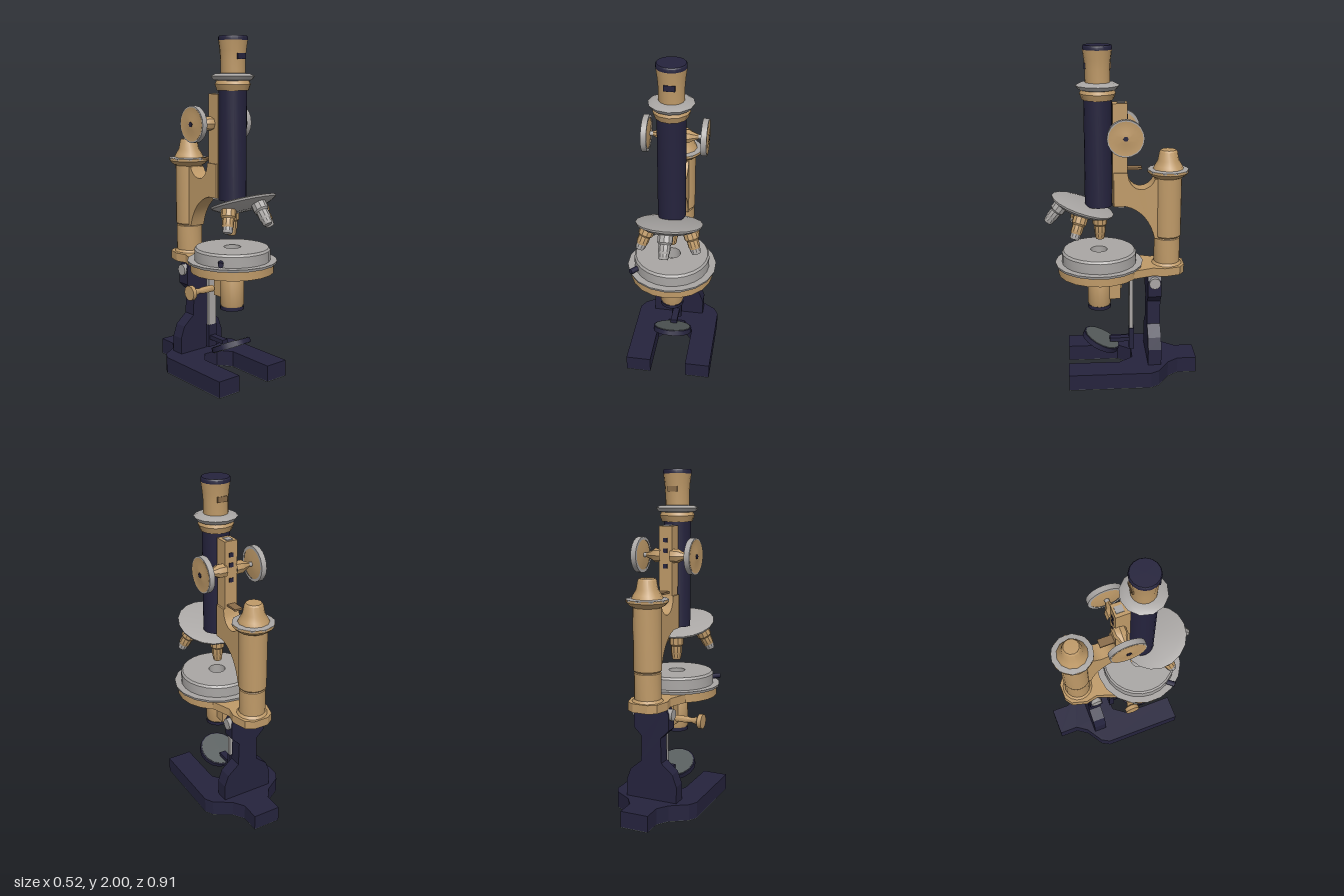
import * as THREE from 'three';
import { toCreasedNormals } from 'three/addons/utils/BufferGeometryUtils.js';

const mat = (name, color, side = THREE.FrontSide) => {
  const m = new THREE.MeshStandardMaterial({ color, side });
  m.name = name;
  return m;
};

export function createModel() {
  const navy = mat('navy enamel', 0x25233d);
  const brass = mat('brass', 0xbf9a68);
  const darkBrass = mat('dark brass', 0x8a6c49);
  const silver = mat('silver', 0xa9a6a4, THREE.DoubleSide);
  const slate = mat('slate', 0x565c5c);

  const model = new THREE.Group();
  model.name = 'microscope';
  const body = new THREE.Group();
  body.name = 'body';
  body.position.x = -0.004;
  model.add(body);

  const add = (name, geo, material, x = 0, y = 0, z = 0, parent = body) => {
    const m = new THREE.Mesh(geo, material);
    m.name = name;
    m.position.set(x, y, z);
    parent.add(m);
    return m;
  };
  const box = (name, material, w, h, d, x, y, z, parent) =>
    add(name, new THREE.BoxGeometry(w, h, d), material, x, y, z, parent);
  // Turned part: profile of [radius, height], listed bottom to top
  const lathe = (name, material, pts, sides, x = 0, y = 0, z = 0, parent = body) => {
    const g = new THREE.LatheGeometry(pts.map(p => new THREE.Vector2(...p)), sides);
    return add(name, toCreasedNormals(g, 0.62), material, x, y, z, parent);
  };
  const extrude = (shape, depth) =>
    new THREE.ExtrudeGeometry(shape, { depth, bevelEnabled: false, curveSegments: 8 });
  const polygon = pts => new THREE.Shape(pts.map(p => new THREE.Vector2(...p)));
  const mirrored = half => [...half, ...half.map(([x, y]) => [-x, y]).reverse()];

  // Horseshoe foot, outline in (x, -z)
  const footShape = polygon(mirrored([
    [0.05, 0.06], [0.11, -0.02], [0.11, -0.33], [0.26, -0.33], [0.26, 0.16],
    [0.232, 0.21], [0.13, 0.275], [0.085, 0.34], [0.085, 0.455]]));
  add('foot', extrude(footShape, 0.095).rotateX(-Math.PI / 2), navy, 0, 0.005, 0);
  add('footUnderside', extrude(footShape, 0.005).rotateX(-Math.PI / 2), slate);

  // Upright with wide shoulders and a flared head
  const upright = polygon(mirrored([
    [0.16, 0.1], [0.16, 0.2], [0.135, 0.27], [0.065, 0.33], [0.06, 0.48],
    [0.11, 0.53], [0.11, 0.63], [0.085, 0.66]]));
  add('upright', extrude(upright, 0.08), navy, 0, 0, -0.23);
  const axle = add('hingeAxle', new THREE.CylinderGeometry(0.034, 0.034, 0.25, 12), silver, 0, 0.618, -0.19);
  axle.rotation.z = Math.PI / 2;

  // Mirror on its hanging bar
  box('mirrorBar', silver, 0.055, 0.42, 0.022, 0, 0.45, -0.055);
  box('mirrorBarEnd', navy, 0.06, 0.14, 0.03, 0, 0.215, -0.058);
  box('mirrorBracket', navy, 0.04, 0.025, 0.13, 0, 0.205, 0.01);
  const mirror = new THREE.Group();
  mirror.name = 'mirror';
  mirror.position.set(0, 0.2, 0.13);
  mirror.rotation.x = -0.46;
  body.add(mirror);
  add('mirrorFrame', new THREE.CylinderGeometry(0.12, 0.12, 0.03, 16), navy, 0, 0, 0, mirror);
  add('mirrorGlass', new THREE.CylinderGeometry(0.112, 0.112, 0.036, 16), slate, 0, 0, 0, mirror);

  // Stage
  const tubeZ = 0.137, columnZ = -0.27;
  lathe('stagePlate', brass, [[0.05, 0.66], [0.245, 0.66], [0.245, 0.712], [0.05, 0.712]], 20, 0, 0, tubeZ);
  lathe('stageRim', silver, [[0.05, 0.712], [0.258, 0.712], [0.263, 0.728], [0.05, 0.728]], 18, 0, 0, tubeZ);
  lathe('stageDisc', silver, [[0.222, 0.728], [0.222, 0.79], [0.212, 0.803], [0.05, 0.803], [0.05, 0.72]], 24, 0, 0, tubeZ);
  add('stageArm', extrude(polygon(mirrored([
    [0.15, 0.04], [0.1, 0.18], [0.115, 0.25], [0.09, 0.34], [0.045, 0.37]])), 0.05).rotateX(-Math.PI / 2),
    brass, 0, 0.661, 0);
  const stageScrew = add('stageScrew', new THREE.CylinderGeometry(0.016, 0.016, 0.06, 8), navy, -0.2, 0.755, 0.27);
  stageScrew.rotation.set(Math.PI / 2, 0, 0.7);

  // Condenser below the stage
  lathe('condenser', brass, [[0.066, 0.45], [0.07, 0.46], [0.07, 0.64], [0.06, 0.66], [0.06, 0.7], [0, 0.7]], 16, 0, 0, tubeZ);
  lathe('condenserRing', navy, [[0.05, 0.44], [0.05, 0.43], [0.071, 0.43], [0.071, 0.452]], 16, 0, 0, tubeZ);
  lathe('condenserLens', slate, [[0, 0.437], [0.055, 0.437]], 16, 0, 0, tubeZ);
  lathe('stageLens', silver, [[0.045, 0.705], [0.02, 0.72], [0, 0.722]], 12, 0, 0, tubeZ);
  box('condenserSlide', brass, 0.07, 0.17, 0.07, 0, 0.575, 0.045);
  box('condenserRail', silver, 0.13, 0.03, 0.04, 0.03, 0.64, 0.02);
  const condenserKnob = lathe('condenserKnob', brass,
    [[0, 0], [0.02, 0], [0.02, 0.07], [0.014, 0.1], [0.025, 0.14], [0.044, 0.15], [0.044, 0.175], [0, 0.175]],
    12, -0.05, 0.535, 0.015);
  condenserKnob.rotation.z = Math.PI / 2;

  // Column with flange and flared cap
  lathe('columnBase', brass, [[0.1, 0.7], [0.078, 0.725], [0.078, 0.875], [0.072, 0.882]], 16, 0, 0, columnZ);
  lathe('column', brass, [[0.072, 0.878], [0.082, 0.89], [0.082, 1.245], [0.1, 1.255], [0.12, 1.275], [0.12, 1.29], [0, 1.29]], 16, 0, 0, columnZ);
  lathe('columnFlange', silver, [[0.122, 1.283], [0.122, 1.291], [0.08, 1.296]], 10, 0, 0, columnZ);
  lathe('columnCap', brass, [[0.092, 1.29], [0.08, 1.315], [0.062, 1.345], [0.053, 1.395], [0.045, 1.405], [0, 1.407]], 12, 0, 0, columnZ);

  // Curved limb, drawn in (z, y)
  const limb = new THREE.Shape();
  limb.moveTo(0.05, 1.08);
  limb.lineTo(-0.02, 1.08);
  limb.bezierCurveTo(-0.11, 1.06, -0.17, 0.98, -0.19, 0.88);
  limb.lineTo(-0.26, 0.88);
  limb.lineTo(-0.26, 1.24);
  limb.lineTo(-0.19, 1.24);
  limb.bezierCurveTo(-0.16, 1.16, -0.04, 1.15, -0.03, 1.28);
  limb.lineTo(0.05, 1.28);
  add('limb', toCreasedNormals(extrude(limb, 0.1).rotateY(-Math.PI / 2), 0.5), brass, 0.05, 0, 0);

  // Focusing slide
  box('focusSlide', brass, 0.08, 0.6, 0.085, 0, 1.38, 0.013);
  box('focusRack', silver, 0.04, 0.08, 0.045, 0, 1.645, 0.005);
  box('slideFoot', silver, 0.045, 0.04, 0.04, 0, 1.085, 0.005);
  box('limbStop', darkBrass, 0.05, 0.012, 0.09, 0, 1.3, -0.07);
  for (const y of [1.6, 1.54, 1.45]) box('slideScrew', navy, 0.025, 0.025, 0.006, 0, y, -0.031);

  // Focusing wheels on a shared shaft
  const shaft = add('focusShaft', new THREE.CylinderGeometry(0.014, 0.014, 0.32, 8), silver, 0, 1.51, -0.01);
  shaft.rotation.z = Math.PI / 2;
  for (const side of [1, -1]) {
    const wheel = new THREE.Group();
    wheel.name = side > 0 ? 'leftFocusWheel' : 'rightFocusWheel';
    wheel.position.set(0, 1.51, -0.01);
    wheel.rotation.z = -side * Math.PI / 2;
    body.add(wheel);
    lathe('wheelHub', brass, [[0.04, 0.03], [0.04, 0.075], [0.03, 0.09], [0.013, 0.13]], 8, 0, 0, 0, wheel);
    lathe('wheelRim', silver, [[0.088, 0.15], [0.105, 0.15], [0.105, 0.182], [0.088, 0.182]], 20, 0, 0, 0, wheel);
    lathe('wheelDisc', brass, [[0, 0.145], [0.03, 0.145], [0.09, 0.153], [0.097, 0.183], [0.06, 0.18], [0.03, 0.186], [0, 0.186]], 20, 0, 0, 0, wheel);
    lathe('wheelPin', navy, [[0.015, 0.18], [0.015, 0.19], [0, 0.19]], 6, 0, 0, 0, wheel);
  }

  // Main tube, collar and eyepiece
  lathe('mainTube', navy, [[0, 1.08], [0.08, 1.08], [0.08, 1.7]], 20, 0, 0, tubeZ);
  lathe('tubeCollar', brass, [[0.075, 1.7], [0.09, 1.7], [0.103, 1.735], [0.092, 1.76]], 12, 0, 0, tubeZ);
  lathe('tubeFlange', silver, [[0.085, 1.752], [0.11, 1.758], [0.126, 1.78], [0.1, 1.793], [0.06, 1.797]], 12, 0, 0, tubeZ);
  lathe('eyepiece', brass, [[0.07, 1.79], [0.071, 1.87], [0.075, 1.92], [0.083, 1.978]], 16, 0, 0, tubeZ);
  lathe('eyepieceCap', navy, [[0.07, 1.975], [0.083, 1.975], [0.083, 1.993], [0.078, 2], [0, 2]], 16, 0, 0, tubeZ);
  box('frontLabel', navy, 0.06, 0.032, 0.009, 0, 1.888, tubeZ + 0.071);
  box('backLabel', darkBrass, 0.06, 0.032, 0.009, 0, 1.888, tubeZ - 0.071);

  // Tilted revolving nosepiece with four objectives
  const nosepiece = new THREE.Group();
  nosepiece.name = 'nosepiece';
  nosepiece.position.set(0, 1.075, 0.232);
  nosepiece.rotation.x = -0.335;
  body.add(nosepiece);
  lathe('nosepieceDisc', silver,
    [[0, -0.05], [0.08, -0.048], [0.15, -0.025], [0.187, -0.004], [0.191, 0.008], [0.15, 0.016], [0, 0.022]],
    18, 0, 0, 0, nosepiece);
  for (let i = 0; i < 4; i++) {
    const turn = new THREE.Group();
    turn.name = 'objective';
    turn.rotation.y = i * Math.PI / 2;
    nosepiece.add(turn);
    const lens = new THREE.Group();
    lens.name = 'objectiveBarrel';
    lens.position.set(0, 0, 0.108);
    lens.rotation.x = -0.335;
    turn.add(lens);
    const isFront = i === 0;
    lathe('barrel', isFront ? silver : brass,
      [[0.028, -0.14], [0.034, -0.125], [0.034, -0.085], [0.043, -0.075], [0.043, -0.01]], 10, 0, 0, 0, lens);
    lathe('tip', i === 2 ? brass : silver,
      [[0, -0.168], [0.024, -0.168], [0.029, -0.155], [0.03, -0.13]], 10, 0, 0, 0, lens);
  }
  return model;
}
